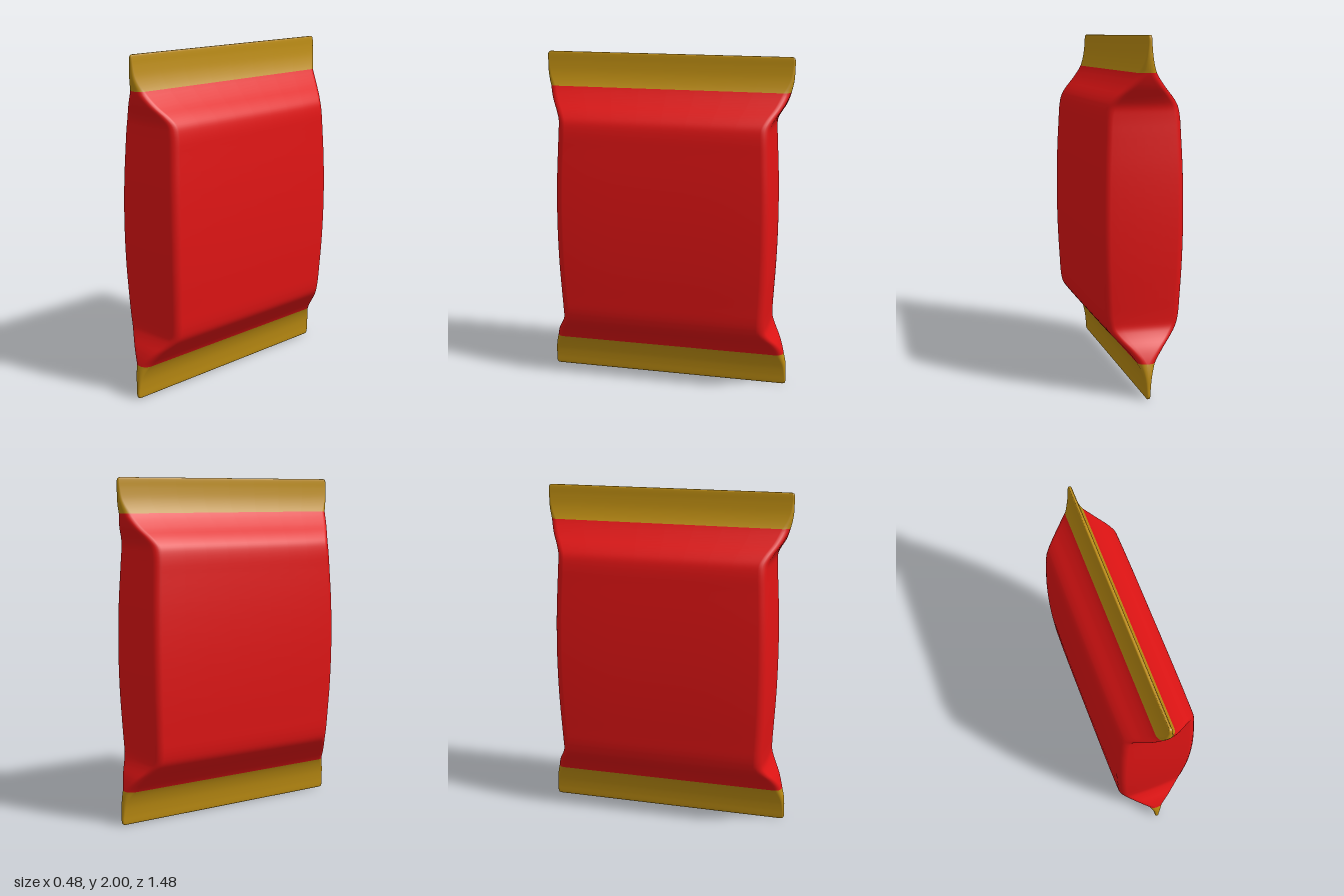
import * as THREE from 'three';

// Upper half of the outline: [half thickness x, height y, half width z]
const HALF = [
  [0.24, 1.0, 0.65], [0.236, 1.25, 0.646], [0.227, 1.45, 0.637], [0.22, 1.56, 0.632],
  [0.207, 1.615, 0.634], [0.175, 1.66, 0.653], [0.11, 1.725, 0.692], [0.052, 1.8, 0.722],
  [0.025, 1.87, 0.737], [0.014, 1.94, 0.74], [0.011, 1.982, 0.74], [0.009, 1.995, 0.735], [0.005, 2.0, 0.725],
];
const SEAL = 0.2; // height of each end seal
const STEPS = 4; // rings per outline segment

// Rounded rectangle cross-section with slightly pillowed sides
function section({ x: a, y, z: b }) {
  const r = Math.min(0.045, a * 0.85);
  const puff = THREE.MathUtils.smoothstep(a, 0.05, 0.22);
  const ring = [];
  const corners = [[1, 1], [-1, 1], [-1, -1], [1, -1]];
  const arc = 6, side = 8;
  corners.forEach(([sx, sz], c) => {
    const cx = sx * (a - r), cz = sz * (b - r);
    for (let i = 0; i <= arc; i++) {
      const t = (c + i / arc) * Math.PI / 2;
      ring.push([cx + r * Math.cos(t), cz + r * Math.sin(t)]);
    }
    // straight run to the next corner
    const [nx, nz] = corners[(c + 1) % 4];
    const t = (c + 1) * Math.PI / 2;
    const p = ring[ring.length - 1];
    const q = [nx * (a - r) + r * Math.cos(t), nz * (b - r) + r * Math.sin(t)];
    for (let i = 1; i < side; i++) {
      const k = i / side;
      ring.push([p[0] + (q[0] - p[0]) * k, p[1] + (q[1] - p[1]) * k]);
    }
  });
  return ring.map(([x, z]) => [
    x * (1 - 0.025 * puff * (z / b) ** 4), y, z * (1 - 0.015 * puff * (x / a) ** 2),
  ]);
}

export function createModel() {
  const group = new THREE.Group();
  group.name = 'wrappedPacket';

  // Mirror the outline about mid height and loft rings along it
  const lower = HALF.slice(1).reverse().map(([a, y, b]) => [a, 2 - y, b]);
  const pts = [...lower, ...HALF].map((p) => new THREE.Vector3(...p));
  const curve = new THREE.CatmullRomCurve3(pts);
  const rows = (pts.length - 1) * STEPS;
  const rings = [];
  for (let i = 0; i <= rows; i++) rings.push(section(curve.getPoint(i / rows)));
  const n = rings[0].length;
  const positions = rings.flat(2);
  positions.push(0, 0, 0, 0, 2, 0); // cap centres
  const bottomCentre = rings.length * n, topCentre = bottomCentre + 1;

  // Faces sorted by part, sharing one set of smooth normals
  const faces = { bottomSeal: [], wrapperBody: [], topSeal: [] };
  for (let i = 0; i < rows; i++) {
    const mid = curve.getPoint((i + 0.5) / rows).y;
    const part = mid < SEAL ? faces.bottomSeal : mid > 2 - SEAL ? faces.topSeal : faces.wrapperBody;
    for (let j = 0; j < n; j++) {
      const k = (j + 1) % n;
      const p = i * n + j, q = i * n + k;
      part.push(p, p + n, q, q, p + n, q + n);
    }
  }
  for (let j = 0; j < n; j++) {
    const k = (j + 1) % n;
    faces.bottomSeal.push(bottomCentre, j, k);
    faces.topSeal.push(topCentre, rows * n + k, rows * n + j);
  }

  const whole = new THREE.BufferGeometry();
  whole.setAttribute('position', new THREE.Float32BufferAttribute(positions, 3));
  whole.setIndex(Object.values(faces).flat());
  whole.computeVertexNormals();

  const red = new THREE.MeshStandardMaterial({ color: 0xe01414 });
  const gold = new THREE.MeshStandardMaterial({ color: 0xbc8c12 });
  for (const [name, index] of Object.entries(faces)) {
    const geometry = new THREE.BufferGeometry();
    geometry.setAttribute('position', whole.attributes.position);
    geometry.setAttribute('normal', whole.attributes.normal);
    geometry.setIndex(index);
    const mesh = new THREE.Mesh(geometry, name === 'wrapperBody' ? red : gold);
    mesh.name = name;
    group.add(mesh);
  }
  return group;
}
